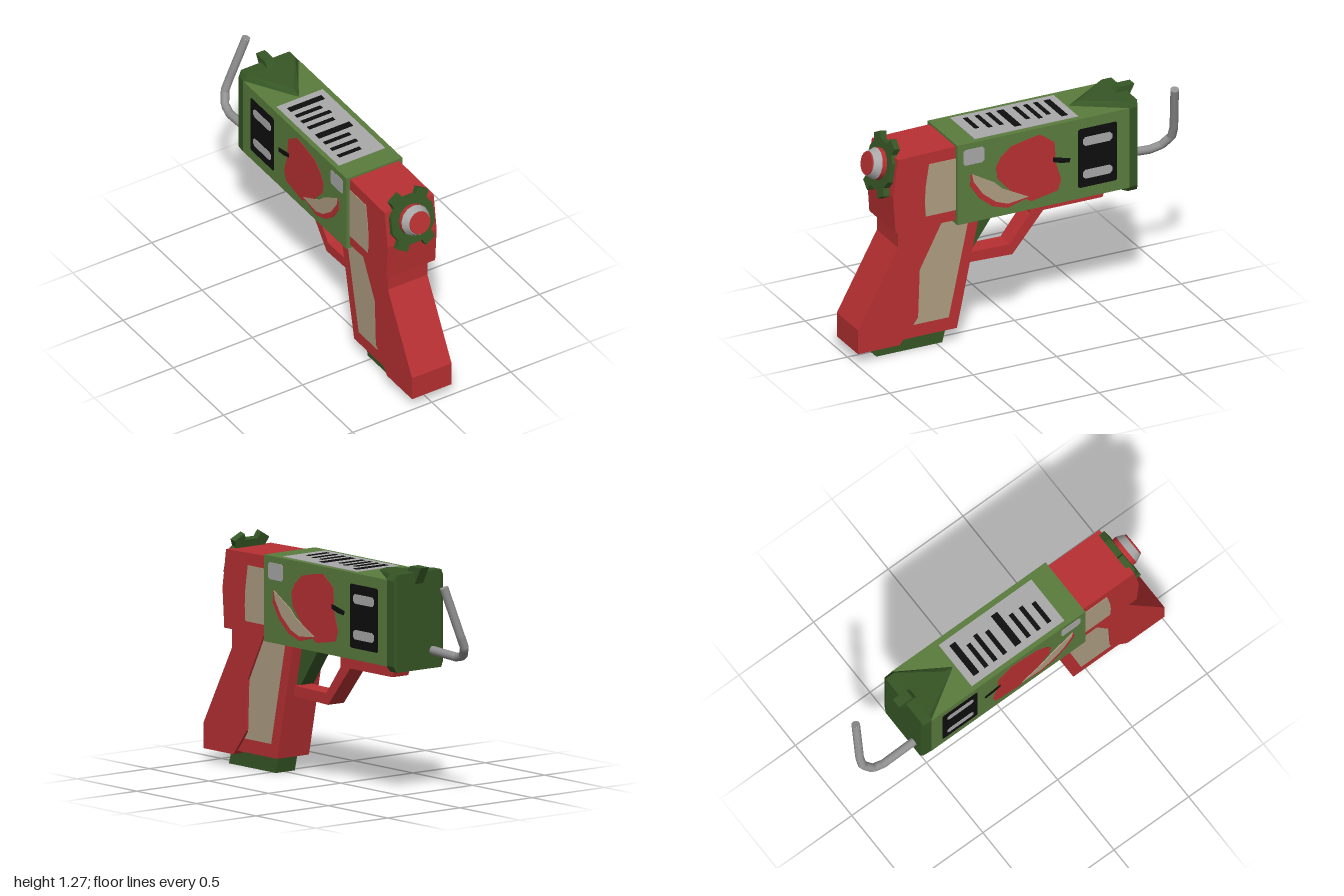
import * as THREE from 'three';
import { ConvexGeometry } from 'three/addons/geometries/ConvexGeometry.js';

const mat = (name, color) => {
  const m = new THREE.MeshStandardMaterial({ color });
  m.name = name;
  return m;
};

export function createModel() {
  const red = mat('red', 0xb83032);
  const green = mat('green', 0x5a7c3d);
  const darkGreen = mat('dark green', 0x365625);
  const grey = mat('light grey', 0xa9a9a9);
  const steel = mat('steel', 0x929292);
  const beige = mat('beige', 0xae9d82);
  const black = mat('black', 0x0e0e0e);

  const root = new THREE.Group();
  root.name = 'toyBlaster';

  const add = (name, geometry, material, parent = root) => {
    const mesh = new THREE.Mesh(geometry, material);
    mesh.name = name;
    parent.add(mesh);
    return mesh;
  };

  // Side profile given as [z, y] points, extruded across x
  const profile = (pts, x0, x1) => {
    const shape = new THREE.Shape(pts.map(([z, y]) => new THREE.Vector2(-z, y)));
    return new THREE.ExtrudeGeometry(shape, { depth: x1 - x0, bevelEnabled: false })
      .translate(0, 0, x0).rotateY(Math.PI / 2);
  };
  const slab = (name, pts, half, material) => add(name, profile(pts, -half, half), material);

  // Thin painted plate repeated on both sides
  const decal = (name, pts, x, lift, material) => {
    add(name + 'Left', profile(pts, x - 0.003, x + lift), material);
    add(name + 'Right', profile(pts, -x - lift, -x + 0.003), material);
  };

  // Rectangle with clipped corners, as [z, y] points
  const clipped = (z0, z1, y0, y1, c) => [
    [z0 + c, y0], [z1 - c, y0], [z1, y0 + c], [z1, y1 - c],
    [z1 - c, y1], [z0 + c, y1], [z0, y1 - c], [z0, y0 + c],
  ];

  // Main body
  add('body', new THREE.BoxGeometry(0.352, 0.47, 1.03).translate(0, 0.967, -0.085), green);

  // Muzzle cap, with a wedge running back along the top and bottom
  const hull = (pts) => new ConvexGeometry(pts.map((p) => new THREE.Vector3(...p)));
  const both = (x, y, z) => [[x, y, z], [-x, y, z]];
  add('muzzleCap', hull([
    ...both(0.176, 0.735, -0.595), ...both(0.176, 1.2, -0.595),
    ...both(0.153, 0.702, -0.6), ...both(0.153, 1.232, -0.6),
    ...both(0.153, 0.702, -0.657), ...both(0.153, 1.232, -0.657),
    ...both(0.172, 0.735, -0.65), ...both(0.172, 1.2, -0.65),
  ]), darkGreen);
  add('topWedge', hull([
    [0, 1.2, -0.32], [0, 1.222, -0.38], ...both(0.175, 1.2, -0.6), ...both(0.153, 1.232, -0.6),
    [0, 1.19, -0.6],
  ]), darkGreen);
  add('bottomWedge', hull([
    [0, 0.734, -0.42], [0, 0.712, -0.48], ...both(0.175, 0.734, -0.6), ...both(0.153, 0.702, -0.6),
    [0, 0.745, -0.6],
  ]), darkGreen);
  slab('frontSight', [[-0.585, 1.225], [-0.615, 1.262], [-0.705, 1.262], [-0.657, 1.17], [-0.62, 1.17]], 0.028, darkGreen);

  // Rear slide
  slab('slide', [[0.42, 0.755], [0.79, 0.755], [0.805, 0.97], [0.775, 1.183], [0.42, 1.19]], 0.155, red);
  decal('slidePanel', [[0.43, 0.815], [0.61, 0.815], [0.615, 0.9], [0.61, 0.99], [0.59, 1.12], [0.43, 1.12]], 0.155, 0.003, beige);

  // Grip: wide back, narrower front with an inset panel
  slab('gripBack', [
    [0.76, 0.76], [0.76, 0.65], [1.0, 0.21], [1.0, 0.07], [0.75, 0.07],
    [0.64, 0.21], [0.63, 0.49], [0.49, 0.76],
  ], 0.125, red);
  slab('gripFront', [[0.74, 0.76], [0.8, 0.09], [0.4, 0.09], [0.26, 0.76]], 0.11, red);
  decal('gripPanel', [[0.5, 0.75], [0.325, 0.75], [0.45, 0.165], [0.67, 0.165], [0.64, 0.21], [0.63, 0.49]], 0.11, 0.003, beige);
  slab('magazineBase', [[0.86, 0], [0.83, 0.1], [0.44, 0.1], [0.465, 0]], 0.065, darkGreen);

  // Trigger and guard
  slab('trigger', [[0.27, 0.74], [0.11, 0.74], [0.28, 0.5], [0.32, 0.5]], 0.045, darkGreen);
  slab('triggerGuard', [
    [0.34, 0.435], [0.04, 0.425], [-0.145, 0.647], [-0.5, 0.647], [-0.53, 0.74],
    [-0.065, 0.74], [-0.065, 0.645], [0.055, 0.487], [0.34, 0.492],
  ], 0.055, red);

  // Rear dial: toothed plate with a ringed button, tilted upward
  const dial = new THREE.Group();
  dial.name = 'rearDial';
  dial.position.set(0, 1.097, 0.795);
  dial.rotation.x = -0.24;
  root.add(dial);
  const half = [
    [0.04, 0.135], [0.058, 0.172], [0.12, 0.136], [0.102, 0.098], [0.132, 0.055],
    [0.132, -0.05], [0.1, -0.095], [0.12, -0.136], [0.058, -0.172], [0.04, -0.135],
  ];
  const outline = [...half, ...half.map(([x, y]) => [-x, y]).reverse()];
  const gear = new THREE.Shape(outline.map(([x, y]) => new THREE.Vector2(x, y)));
  add('toothedPlate', new THREE.ExtrudeGeometry(gear, { depth: 0.036, bevelEnabled: false }).translate(0, 0, -0.018), darkGreen, dial);
  const disc = (name, r0, r1, z0, z1, m) => add(name,
    new THREE.CylinderGeometry(r1, r0, z1 - z0, 14).rotateX(Math.PI / 2).translate(0, 0.005, (z0 + z1) / 2), m, dial);
  disc('buttonBase', 0.088, 0.088, 0.0, 0.045, red);
  disc('buttonRing', 0.088, 0.068, 0.045, 0.088, grey);
  disc('buttonFace', 0.067, 0.064, 0.08, 0.095, red);

  // Side paintings: badge, fruit, slice and vent panel
  const X = 0.176;
  decal('badge', clipped(0.27, 0.395, 1.075, 1.167, 0.012), X, 0.002, grey);
  decal('fruit', [
    [0.2, 1.025], [0.17, 1.08], [0.11, 1.13], [0.02, 1.15], [-0.065, 1.163], [-0.15, 1.1],
    [-0.16, 0.97], [-0.19, 0.87], [-0.17, 0.81], [-0.01, 0.78], [0.11, 0.865], [0.19, 0.955],
  ], X, 0.002, red);
  decal('stem', [[-0.14, 1.01], [-0.245, 0.985], [-0.24, 0.962], [-0.19, 0.968], [-0.14, 0.985]], X, 0.004, black);
  decal('sliceRind', [
    [0.35, 1.02], [0.355, 0.95], [0.3, 0.865], [0.22, 0.8], [0.13, 0.772], [0.01, 0.805], [0.1, 0.85],
  ], X, 0.003, red);
  decal('sliceFlesh', [
    [0.345, 1.018], [0.335, 0.97], [0.28, 0.888], [0.2, 0.823], [0.13, 0.797], [0.005, 0.812],
    [0.16, 0.892], [0.21, 0.94],
  ], X, 0.005, beige);
  decal('ventPanel', clipped(-0.525, -0.293, 0.795, 1.142, 0.008), X, 0.002, black);
  for (const y of [0.87, 1.064]) {
    decal('ventSlot', clipped(-0.495, -0.32, y - 0.026, y + 0.026, 0.014), X, 0.004, grey);
  }

  // Striped labels on the top and underside: [z, right end x, thickness]
  const stripes = [
    [-0.248, 0.106, 0.038], [-0.18, 0.053, 0.026], [-0.12, 0.074, 0.026], [-0.056, 0.053, 0.026],
    [0.032, 0.106, 0.042], [0.103, 0.053, 0.026], [0.17, 0.053, 0.026], [0.24, 0.032, 0.026],
  ];
  for (const [side, y, s] of [['top', 1.202, 1], ['bottom', 0.732, -1]]) {
    add(side + 'Label', new THREE.BoxGeometry(0.293, 0.005, 0.62).translate(-0.003, y, 0), grey);
    for (const [z, x1, t] of stripes) {
      const w = x1 + 0.11;
      add(side + 'Stripe', new THREE.BoxGeometry(w, 0.005, t).translate(x1 - w / 2, y + s * 0.002, z), black);
    }
  }

  // Bent wire: straight runs joined by a short bend, with a capped end
  const wirePts = [
    [-0.095, 0.8, -0.62], [-0.095, 0.787, -0.86], [-0.085, 0.805, -0.925],
    [-0.055, 0.86, -0.97], [-0.03, 0.92, -0.97], [0.055, 1.19, -0.932],
  ].map((p) => new THREE.Vector3(...p));
  const path = new THREE.CurvePath();
  for (let i = 1; i < wirePts.length; i++) path.add(new THREE.LineCurve3(wirePts[i - 1], wirePts[i]));
  add('wire', new THREE.TubeGeometry(path, 40, 0.024, 10), steel);
  const end = wirePts[5];
  const cap = add('wireEnd', new THREE.CircleGeometry(0.024, 10), steel);
  cap.position.copy(end);
  cap.lookAt(end.clone().multiplyScalar(2).sub(wirePts[4]));

  return root;
}
